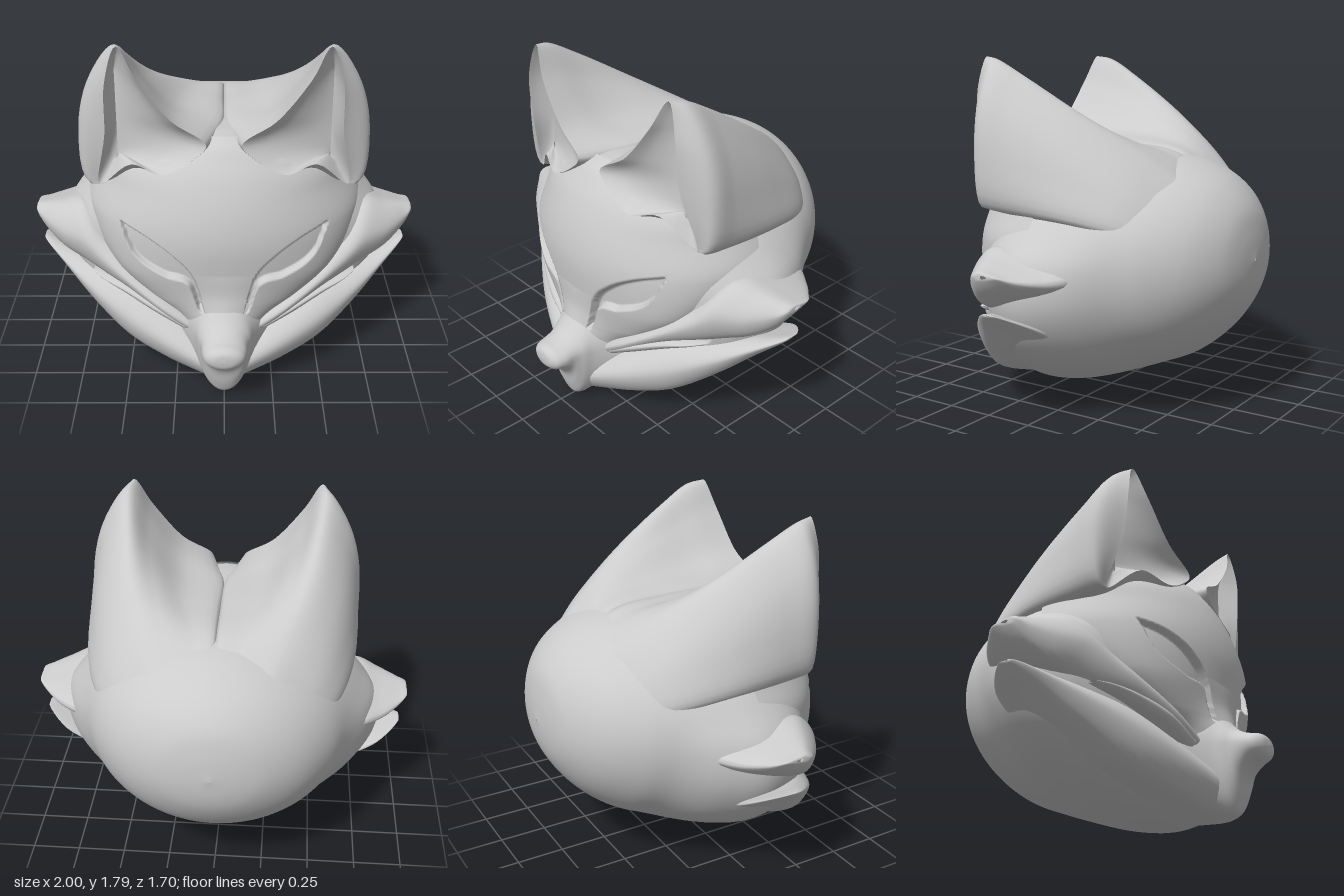
import * as THREE from 'three';

const material = new THREE.MeshStandardMaterial({ color: 0xcccccc, side: THREE.DoubleSide });
const V = (x, y, z) => new THREE.Vector3(x, y, z);

// Smooth function through [input, output] pairs sorted by input
function curve(table) {
  const n = table.length;
  const slope = (i) => {
    const a = table[Math.max(i - 1, 0)], b = table[Math.min(i + 1, n - 1)];
    return (b[1] - a[1]) / (b[0] - a[0]);
  };
  return (v) => {
    v = Math.min(Math.max(v, table[0][0]), table[n - 1][0]);
    let i = 0;
    while (i < n - 2 && v > table[i + 1][0]) i++;
    const h = table[i + 1][0] - table[i][0], t = (v - table[i][0]) / h;
    const t2 = t * t, t3 = t2 * t;
    return table[i][1] * (2 * t3 - 3 * t2 + 1) + slope(i) * h * (t3 - 2 * t2 + t)
      + table[i + 1][1] * (3 * t2 - 2 * t3) + slope(i + 1) * h * (t3 - t2);
  };
}

// Surface from a rectangular array of points, rows x columns
function gridMesh(name, rows, closed) {
  const cols = rows[0].length, index = [];
  for (let i = 0; i < rows.length - 1; i++) {
    for (let j = 0; j < (closed ? cols : cols - 1); j++) {
      const a = i * cols + j, b = i * cols + ((j + 1) % cols), c = a + cols, d = b + cols;
      index.push(a, b, c, b, d, c);
    }
  }
  const g = new THREE.BufferGeometry().setFromPoints(rows.flat());
  g.setIndex(index);
  g.computeVertexNormals();
  const mesh = new THREE.Mesh(g, material);
  mesh.name = name;
  return mesh;
}

// Smooth loft through closed rings of matching points
function loft(name, rings, around = 60, along = 50) {
  const fine = rings.map((r) => new THREE.CatmullRomCurve3(r, true).getPoints(around).slice(0, -1));
  const lines = fine[0].map((_, j) => new THREE.CatmullRomCurve3(fine.map((r) => r[j])).getPoints(along));
  return gridMesh(name, lines[0].map((_, i) => lines.map((l) => l[i])), true);
}

// Ring in a z plane; stations are [z, halfWidth, bottom, top, middle]
function ovalRing([z, w, bottom, top, middle]) {
  return Array.from({ length: 24 }, (_, i) => {
    const a = (i / 24) * Math.PI * 2, s = Math.sin(a);
    return V(w * Math.cos(a), middle + s * (s > 0 ? top - middle : middle - bottom), z);
  });
}

// Rounded skull, swelling sideways into the cheeks
function makeSkull() {
  const swell = curve([[-0.5, 0], [-0.4, 0.01], [-0.3, 0.045], [-0.2, 0.095], [-0.1, 0.135], [0.05, 0.15],
    [0.2, 0.13], [0.34, 0.08], [0.46, 0]]);
  const height = curve([[0.03, 0], [0.2, 0.5], [0.35, 0.9], [0.5, 1], [0.65, 1], [0.78, 0.8], [0.9, 0.35], [1.05, 0]]);
  const rings = [
    [-0.85, 0.005, 0.795, 0.805, 0.8], [-0.835, 0.15, 0.67, 0.94, 0.8], [-0.8, 0.28, 0.57, 1.06, 0.8],
    [-0.7, 0.45, 0.42, 1.18, 0.8], [-0.55, 0.585, 0.29, 1.265, 0.8], [-0.4, 0.66, 0.22, 1.305, 0.8],
    [-0.2, 0.71, 0.14, 1.32, 0.8], [0, 0.72, 0.07, 1.325, 0.8], [0.2, 0.67, 0.03, 1.33, 0.78],
    [0.35, 0.55, 0.04, 1.33, 0.75], [0.42, 0.4, 0.07, 1.31, 0.67], [0.47, 0.25, 0.12, 0.9, 0.5],
    [0.5, 0.02, 0.38, 0.42, 0.4],
  ].map(ovalRing);
  for (const p of rings.flat()) p.x += Math.sign(p.x) * Math.min(1, Math.abs(p.x) * 4) * swell(p.z) * height(p.y);
  return loft('skull', rings, 96, 80);
}

// Face mask: wraps round the front, with sunken eyes and a raised bridge
function makeFace() {
  const depth = curve([[0.2, 0.56], [0.3, 0.58], [0.45, 0.6], [0.55, 0.615], [0.7, 0.635], [0.85, 0.64],
    [1, 0.615], [1.15, 0.56], [1.25, 0.5], [1.3, 0.46], [1.33, 0.41]]);
  const width = curve([[0.2, 0.08], [0.4, 0.25], [0.5, 0.41], [0.65, 0.59], [0.87, 0.72], [1.05, 0.67],
    [1.15, 0.63], [1.25, 0.5], [1.33, 0.25]]);
  const edge = curve([[0.2, 0.53], [0.4, 0.47], [0.5, 0.41], [0.65, 0.29], [0.87, 0.06], [1.05, 0], [1.33, 0]]);
  const bridge = curve([[0.2, 0.05], [0.4, 0.085], [0.48, 0.05], [0.56, 0.02], [0.68, 0]]);
  const lidTop = curve([[0.1, 0.47], [0.15, 0.66], [0.25, 0.78], [0.38, 0.86], [0.52, 0.905]]);
  const lidLow = curve([[0.1, 0.46], [0.125, 0.47], [0.17, 0.61], [0.3, 0.65], [0.45, 0.74], [0.52, 0.9]]);
  const rows = [], nv = 150, nu = 220;
  for (let i = 0; i <= nv; i++) {
    const y = 0.2 + (1.13 * i) / nv, row = [];
    for (let j = 0; j <= nu; j++) {
      const a = (j / nu - 0.5) * Math.PI;
      const x = width(y) * Math.sin(a), ax = Math.abs(x);
      let z = edge(y) + (depth(y) - edge(y)) * Math.cos(a) + bridge(y) * Math.exp(-((x / 0.15) ** 2));
      if (ax > 0.1 && ax < 0.52) {
        const inside = Math.min(lidTop(ax) - y, y - lidLow(ax));
        z -= 0.04 * THREE.MathUtils.smoothstep(inside, 0, 0.02);
      }
      row.push(V(x, y, z));
    }
    rows.push(row);
  }
  return gridMesh('faceMask', rows, false);
}

// Ear: rim, outer wall fading back into the skull, and a hollow
function makeEar() {
  const ring = (list, z) => list.map(([x, y, pz]) => V(x, y, pz ?? z));
  const rim = ring([[0.5, 1.79, 0.425], [0.56, 1.62, 0.44], [0.575, 1.35, 0.42], [0.62, 1.05, 0.35],
    [0.45, 1.2, 0.44], [0.3, 1.17, 0.5], [0.15, 1.25, 0.5], [0.085, 1.325, 0.5],
    [0.25, 1.44, 0.48], [0.41, 1.64, 0.46]]);
  const bulge = ring([[0.515, 1.775], [0.64, 1.62], [0.705, 1.35], [0.665, 1.05], [0.45, 1.12], [0.3, 1.12],
    [0.14, 1.18], [0.04, 1.32], [0.25, 1.43], [0.4, 1.61]], 0.34);
  const wall = ring([[0.5, 1.69], [0.63, 1.55], [0.705, 1.3], [0.685, 1.04], [0.4, 1.05], [0.3, 1.05],
    [0.12, 1.12], [0, 1.325], [0.23, 1.4], [0.39, 1.56]], 0.18);
  const ridge = ring([[0.45, 1.5], [0.58, 1.385], [0.66, 1.21], [0.68, 1.02], [0.4, 1], [0.3, 1],
    [0.1, 1.1], [0, 1.325], [0.19, 1.375], [0.33, 1.455]], -0.13);
  const nape = ring([[0.35, 1.315], [0.47, 1.235], [0.56, 1.12], [0.6, 0.97], [0.4, 0.9], [0.25, 0.9],
    [0.1, 1.05], [0, 1.3], [0.12, 1.315], [0.24, 1.325]], -0.41);
  const rear = ring([[0.25, 1.14], [0.33, 1.07], [0.4, 0.99], [0.42, 0.9], [0.3, 0.85], [0.2, 0.85],
    [0.08, 1], [0, 1.15], [0.08, 1.155], [0.17, 1.15]], -0.63);
  const inward = (t) => rim.map((p) => V(
    THREE.MathUtils.lerp(p.x, 0.525, t),
    THREE.MathUtils.lerp(p.y, THREE.MathUtils.clamp(p.y, 1.22, 1.65), t),
    THREE.MathUtils.lerp(p.z, 0.33, t ** 0.8)));
  const ear = new THREE.Group();
  ear.add(loft('earWall', [rim, bulge, wall, ridge, nape, rear]));
  ear.add(loft('earHollow', [rim, inward(0.25), inward(0.5), inward(0.75), inward(1)], 60, 20));
  return ear;
}

// Cheek fur lock; stations are [x, top, bottom, front, back]
function makeLock(name, stations) {
  return loft(name, stations.map(([x, top, bottom, front, back]) => {
    const h = top - bottom, d = front - back;
    return [V(x, top, front - d * 0.2), V(x, top - h * 0.5, front), V(x, bottom, front - d * 0.12),
      V(x, bottom + h * 0.12, front - d * 0.55), V(x, top - h * 0.4, back), V(x, top - h * 0.06, front - d * 0.55)];
  }), 36, 40);
}

export function createModel() {
  const model = new THREE.Group();
  model.name = 'foxHead';
  model.add(makeSkull(), makeFace());

  // Muzzle: narrow chin and rounded nose
  model.add(loft('muzzle', [
    [0.5, 0.24, 0.06, 0.6, 0.34], [0.58, 0.18, 0.03, 0.55, 0.34], [0.63, 0.15, 0.01, 0.51, 0.335],
    [0.67, 0.135, 0.02, 0.465, 0.335], [0.7, 0.122, 0.08, 0.435, 0.33], [0.73, 0.115, 0.18, 0.415, 0.33],
    [0.78, 0.11, 0.24, 0.395, 0.325], [0.82, 0.095, 0.26, 0.385, 0.325], [0.843, 0.06, 0.285, 0.365, 0.325],
    [0.85, 0.002, 0.323, 0.327, 0.325],
  ].map(ovalRing), 48, 50));

  // Ears and cheek fur, mirrored
  for (const [side, label] of [[1, 'left'], [-1, 'right']]) {
    const half = new THREE.Group();
    half.name = label + 'Side';
    const ear = makeEar();
    ear.name = label + 'Ear';
    half.add(ear);
    half.add(makeLock('jawFur', [
      [0, 0.25, 0.015, 0.67, -0.1], [0.06, 0.27, 0.03, 0.66, -0.1], [0.14, 0.3, 0.055, 0.635, -0.1],
      [0.3, 0.38, 0.105, 0.575, -0.1], [0.5, 0.47, 0.19, 0.48, -0.1], [0.7, 0.525, 0.345, 0.35, -0.13],
      [0.85, 0.565, 0.485, 0.22, -0.12], [0.97, 0.605, 0.59, 0.09, 0], [0.975, 0.602, 0.6, 0.06, 0.04],
    ]));
    half.add(makeLock('upperCheekFur', [
      [0.08, 0.34, 0.25, 0.59, 0.4], [0.3, 0.48, 0.39, 0.56, 0.3], [0.5, 0.63, 0.5, 0.475, 0.1],
      [0.62, 0.75, 0.535, 0.405, -0.1], [0.73, 0.87, 0.57, 0.34, -0.26], [0.85, 0.84, 0.62, 0.26, -0.19],
      [0.95, 0.815, 0.7, 0.17, -0.09], [0.995, 0.805, 0.765, 0.12, -0.03], [1, 0.795, 0.78, 0.07, 0.03],
    ]));
    half.add(makeLock('middleCheekTuft', [
      [0.2, 0.37, 0.32, 0.57, 0.4], [0.35, 0.46, 0.4, 0.54, 0.35], [0.5, 0.52, 0.465, 0.47, 0.25],
      [0.62, 0.54, 0.51, 0.4, 0.2], [0.68, 0.545, 0.535, 0.34, 0.25],
    ]));
    half.scale.x = side;
    model.add(half);
  }
  return model;
}
